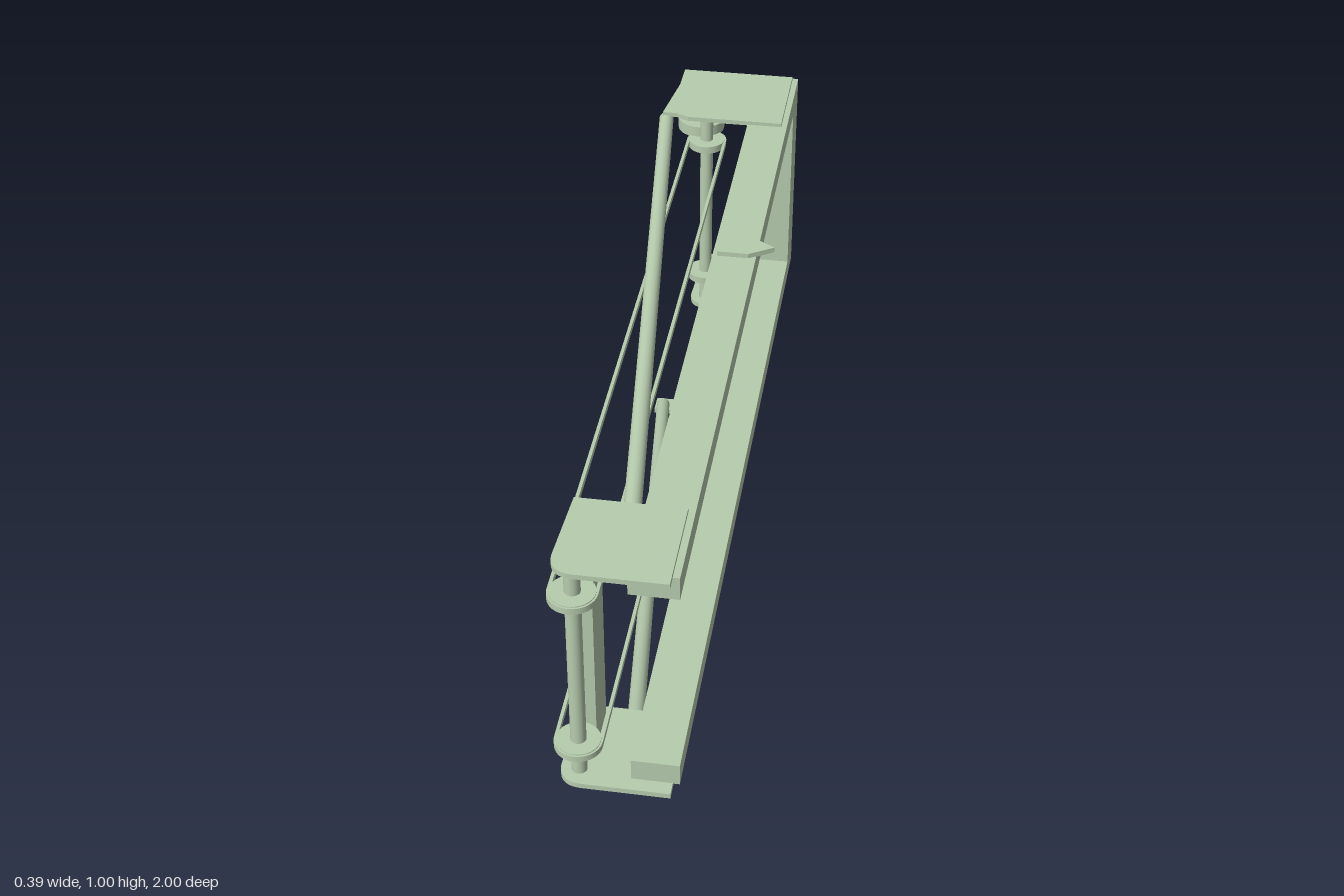
import * as THREE from 'three';

const mat = new THREE.MeshStandardMaterial({ color: 0xb7ccae });

export function createModel() {
  const group = new THREE.Group();

  const add = (name, geometry) => {
    const mesh = new THREE.Mesh(geometry, mat);
    mesh.name = name;
    group.add(mesh);
    return mesh;
  };

  // Upright cylinder between two heights
  const post = (name, x, z, r, y0, y1, sides = 24) =>
    add(name, new THREE.CylinderGeometry(r, r, y1 - y0, sides)).position.set(x, (y0 + y1) / 2, z);

  // Horizontal slab: the shape is drawn in (x, -z) and raised from y0 to y1
  const slab = (name, shape, y0, y1) => {
    const g = new THREE.ExtrudeGeometry(shape, { depth: y1 - y0, bevelEnabled: false, curveSegments: 16 });
    g.rotateX(-Math.PI / 2);
    add(name, g).position.y = y0;
  };
  const polygon = (points) => new THREE.Shape(points.map(([x, z]) => new THREE.Vector2(x, -z)));

  // Round pole between two points
  const pole = (name, a, b, r) => {
    const from = new THREE.Vector3(...a), to = new THREE.Vector3(...b);
    const dir = to.clone().sub(from);
    const mesh = add(name, new THREE.CylinderGeometry(r, r, dir.length(), 24));
    mesh.position.copy(from).add(to).multiplyScalar(0.5);
    mesh.quaternion.setFromUnitVectors(new THREE.Vector3(0, 1, 0), dir.normalize());
  };

  // C-shaped side frame, open at the front
  const side = new THREE.Shape([
    [-0.965, 0.447], [1, 0.447], [1, 0.987], [-0.965, 0.987],
    [-0.965, 0.935], [0.9, 0.935], [0.9, 0.498], [-0.965, 0.498],
  ].map(([u, v]) => new THREE.Vector2(u, v)));
  const frame = new THREE.ExtrudeGeometry(side, { depth: 0.098, bevelEnabled: false });
  frame.rotateY(Math.PI / 2);
  add('sideFrame', frame).position.x = 0.059;

  // Upright joining the two front plates
  add('frontUpright', new THREE.BoxGeometry(0.047, 0.54, 0.1)).position.set(-0.047, 0.717, 0.84);

  // Corner plates with one rounded corner
  const plate = (x0, x1, z0, z1, r) => {
    const s = new THREE.Shape();
    s.moveTo(x1, -z0);
    s.lineTo(x0 + 0.008, -z0);
    s.lineTo(x0, -(z1 - r));
    s.quadraticCurveTo(x0, -z1, x0 + r, -z1);
    s.lineTo(x1, -z1);
    s.closePath();
    return s;
  };
  slab('frontTopPlate', plate(-0.085, 0.143, 0.775, 0.995, 0.05), 0.985, 0.996);
  slab('frontBottomPlate', plate(-0.085, 0.143, 0.775, 0.995, 0.05), 0.436, 0.448);
  slab('backBottomPlate', plate(-0.085, 0.143, -0.985, -0.735, 0.05), 0.436, 0.448);
  slab('backTopPlate', polygon([
    [0.143, -0.99], [-0.135, -0.99], [-0.135, -0.91], [-0.155, -0.755],
    [-0.12, -0.755], [-0.09, -0.74], [0.143, -0.74],
  ]), 0.985, 0.996);

  // Shafts carrying the pulleys
  const shaftX = -0.047, shaftZ = [0.953, -0.777], pulleyY = [0.523, 0.91];
  for (const z of shaftZ) {
    post('shaft', shaftX, z, 0.016, 0.446, 0.987);
    for (const y of pulleyY) post('pulley', shaftX, z, 0.045, y - 0.009, y + 0.009, 32);
  }

  // Belts running around each pair of pulleys
  const loop = (Path, r) => {
    const p = new Path();
    p.absarc(shaftX, -shaftZ[1], r, 0, Math.PI, false);
    p.absarc(shaftX, -shaftZ[0], r, Math.PI, Math.PI * 2, false);
    p.closePath();
    return p;
  };
  for (const y of pulleyY) {
    const belt = loop(THREE.Shape, 0.049);
    belt.holes.push(loop(THREE.Path, 0.042));
    slab('belt', belt, y - 0.007, y + 0.007);
  }

  // Drive disc and small pins under the back top plate
  post('driveDisc', -0.07, -0.842, 0.058, 0.917, 0.945, 32);
  post('driveAxle', -0.07, -0.842, 0.014, 0.945, 0.987);
  for (const [x, z] of [[0.006, -0.955], [-0.035, -0.93], [-0.087, -0.94]])
    post('pin', x, z, 0.008, 0.905, 0.987, 12);

  // Diagonal poles
  pole('upperPole', [0.037, 0.971, 0.79], [-0.148, 0.971, -0.77], 0.0175);
  pole('lowerPole', [0.037, 0.422, 0.79], [-0.173, 0.026, -0.848], 0.0175);

  // Pointed tabs: pointer on the top rail and foot of the lower pole
  const tab = (x0, x1, tip, z, w) => polygon([[x0, z - w], [x1, z - w], [tip, z], [x1, z + w], [x0, z + w]]);
  slab('pointer', tab(0.07, 0.14, 0.195, -0.165, 0.036), 0.986, 0.998);
  slab('foot', tab(-0.197, -0.145, -0.123, -0.865, 0.026), 0, 0.013);

  return group;
}
